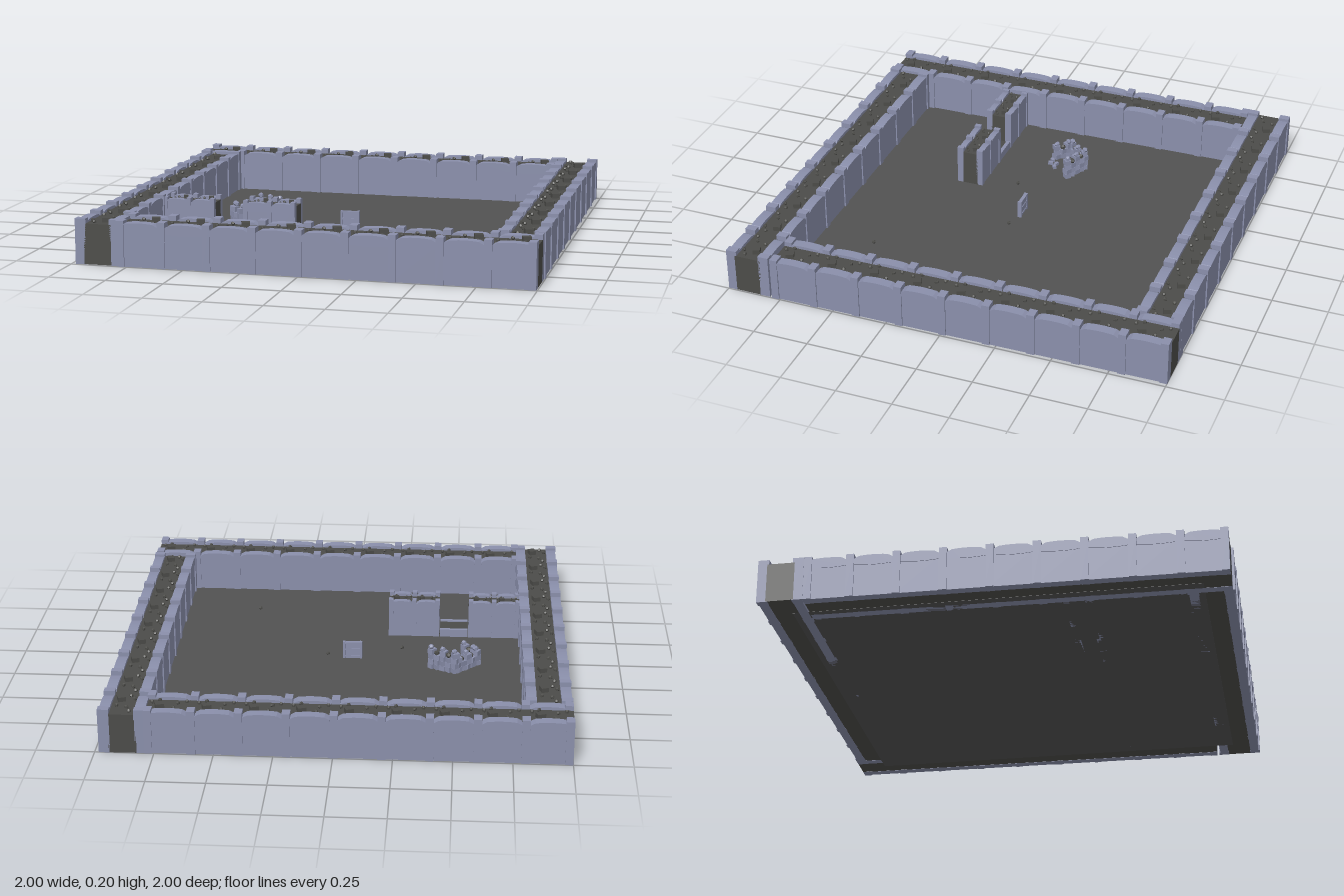
import * as THREE from 'three';

const mat = (name, color) => {
  const m = new THREE.MeshStandardMaterial({ color, flatShading: true });
  m.name = name;
  return m;
};

export function createModel() {
  const stone = mat('blue grey stone', 0x8a8fab);
  const earth = mat('dark rubble', 0x4c4c49);
  const ground = mat('floor grey', 0x525252);
  const root = new THREE.Group();
  root.name = 'ruinedCourtyard';

  const add = (parent, name, geo, material, x, y, z, ry = 0) => {
    const m = new THREE.Mesh(geo, material);
    m.name = name;
    m.position.set(x, y, z);
    m.rotation.y = ry;
    parent.add(m);
    return m;
  };
  const box = (w, h, d) => new THREE.BoxGeometry(w, h, d);

  // Shared wall parts: one bay is 0.199 long, the wall 0.2 wide
  const BAY = 0.199;
  const pillarGeo = box(0.034, 0.198, 0.048);
  const panelGeo = box(BAY, 0.172, 0.04);
  const pebbleGeo = new THREE.DodecahedronGeometry(0.009);
  const chunkGeo = box(0.036, 0.026, 0.032);

  // Coping stone with a gently domed top and bowed lower edge
  const s = new THREE.Shape();
  s.moveTo(-0.082, 0.148);
  s.quadraticCurveTo(0, 0.138, 0.082, 0.148);
  s.lineTo(0.082, 0.176);
  s.lineTo(0.062, 0.187);
  s.quadraticCurveTo(0, 0.195, -0.062, 0.187);
  s.lineTo(-0.082, 0.176);
  const capGeo = new THREE.ExtrudeGeometry(s, { depth: 0.045, bevelEnabled: false, curveSegments: 6 });
  capGeo.translate(0, 0, -0.0225);

  // Rubble pattern on top of each bay: x, z
  const pebbles = [[-0.07, 0.03], [-0.035, 0.015], [-0.02, -0.03], [0.075, 0.02], [0.045, 0.04]];

  const wall = (name, bays) => {
    const g = new THREE.Group();
    g.name = name;
    const len = bays * BAY;
    add(g, 'rubbleCore', box(len, 0.176, 0.12), earth, 0, 0.089, 0);
    for (let i = 0; i <= bays; i++) {
      const px = -len / 2 + i * BAY;
      const inset = i === 0 ? 0.017 : i === bays ? -0.017 : 0;
      for (const side of [-1, 1]) {
        add(g, 'pillar', pillarGeo, stone, px + inset, 0.099, side * 0.076);
        if (i === bays) continue;
        add(g, 'panel', panelGeo, stone, px + BAY / 2, 0.086, side * 0.074);
        add(g, 'copingStone', capGeo, stone, px + BAY / 2, 0, side * 0.0745);
      }
      if (i === bays) continue;
      const cx = px + BAY / 2;
      add(g, 'rubbleChunk', chunkGeo, earth, cx + 0.04, 0.184, -0.018, 0.35);
      pebbles.forEach(([x, z], k) => add(g, 'pebble', pebbleGeo, earth, cx + x, 0.183, z, k));
    }
    root.add(g);
    return g;
  };

  // Four outer walls in a pinwheel; the two side walls sit slightly askew
  wall('backWall', 9).position.set(-0.104, 0, -0.9);
  wall('frontWall', 9).position.set(0.1, 0, 0.9);
  for (const [name, x, z] of [['rightWall', -0.891, 0.095], ['leftWall', 0.891, -0.105]]) {
    const w = wall(name, 9);
    w.position.set(x, 0, z);
    w.rotation.y = -(Math.PI / 2 - 0.01);
  }

  // Courtyard floor
  add(root, 'floor', box(1.75, 0.004, 1.75), ground, 0, 0.002, 0);

  // Inner wall in two pieces with a low threshold between them
  for (const x of [-0.675, -0.3]) {
    const w = wall('innerWall', 2);
    w.position.set(x, 0, 0.335);
    w.scale.set(0.6, 0.95, 0.63);
  }
  const gate = new THREE.Group();
  gate.name = 'threshold';
  root.add(gate);
  add(gate, 'thresholdCore', box(0.13, 0.035, 0.09), earth, -0.488, 0.018, 0.335);
  for (const z of [0.284, 0.392]) add(gate, 'thresholdEdge', box(0.13, 0.04, 0.018), stone, -0.488, 0.02, z);

  // Small ruin: three low broken sides of stacked blocks, turned on the floor
  const ruin = new THREE.Group();
  ruin.name = 'ruin';
  ruin.position.set(-0.5, 0, -0.04);
  ruin.rotation.y = Math.PI / 4;
  root.add(ruin);
  const blockGeo = box(0.032, 0.024, 0.028);
  const rockGeo = new THREE.DodecahedronGeometry(0.013);
  const course = (x0, z0, x1, z1, n, rows) => {
    for (let i = 0; i < n; i++) {
      const t = i / (n - 1);
      const x = x0 + (x1 - x0) * t, z = z0 + (z1 - z0) * t;
      const h = rows - (i % 2);
      for (let r = 0; r < h; r++) add(ruin, 'ruinBlock', blockGeo, stone, x, 0.016 + r * 0.024, z, 0.3 * ((i + r) % 3 - 1));
      add(ruin, 'ruinRock', rockGeo, i % 2 ? earth : stone, x + 0.008, 0.014 + h * 0.024, z, i);
    }
  };
  course(-0.075, -0.06, 0.045, -0.06, 5, 3);
  course(-0.08, -0.04, -0.08, 0.02, 3, 3);
  course(0.06, -0.06, 0.1, 0.05, 5, 4);
  for (let i = 0; i < 4; i++) add(ruin, 'looseBlock', box(0.022, 0.014, 0.014), stone, -0.06 + i * 0.02, 0.011, 0.05 + (i % 2) * 0.02, i);

  // Standing tablet with a raised frame and bars
  const tablet = new THREE.Group();
  tablet.name = 'tablet';
  tablet.position.set(-0.025, 0, 0.01);
  root.add(tablet);
  add(tablet, 'tabletSlab', box(0.084, 0.08, 0.01), stone, 0, 0.043, 0);
  for (const x of [-0.039, 0.039]) add(tablet, 'tabletPost', box(0.01, 0.086, 0.018), stone, x, 0.043, 0);
  for (const y of [0.015, 0.048, 0.08]) add(tablet, 'tabletBar', box(0.07, 0.008, 0.016), stone, 0, y, 0);

  // Loose pebbles on the floor
  for (const [x, z] of [[0.09, 0.035], [-0.25, 0.12], [0.455, 0.55], [-0.775, 0.405], [-0.755, 0.4]])
    add(root, 'floorPebble', pebbleGeo, earth, x, 0.012, z, x * 9);

  return root;
}
